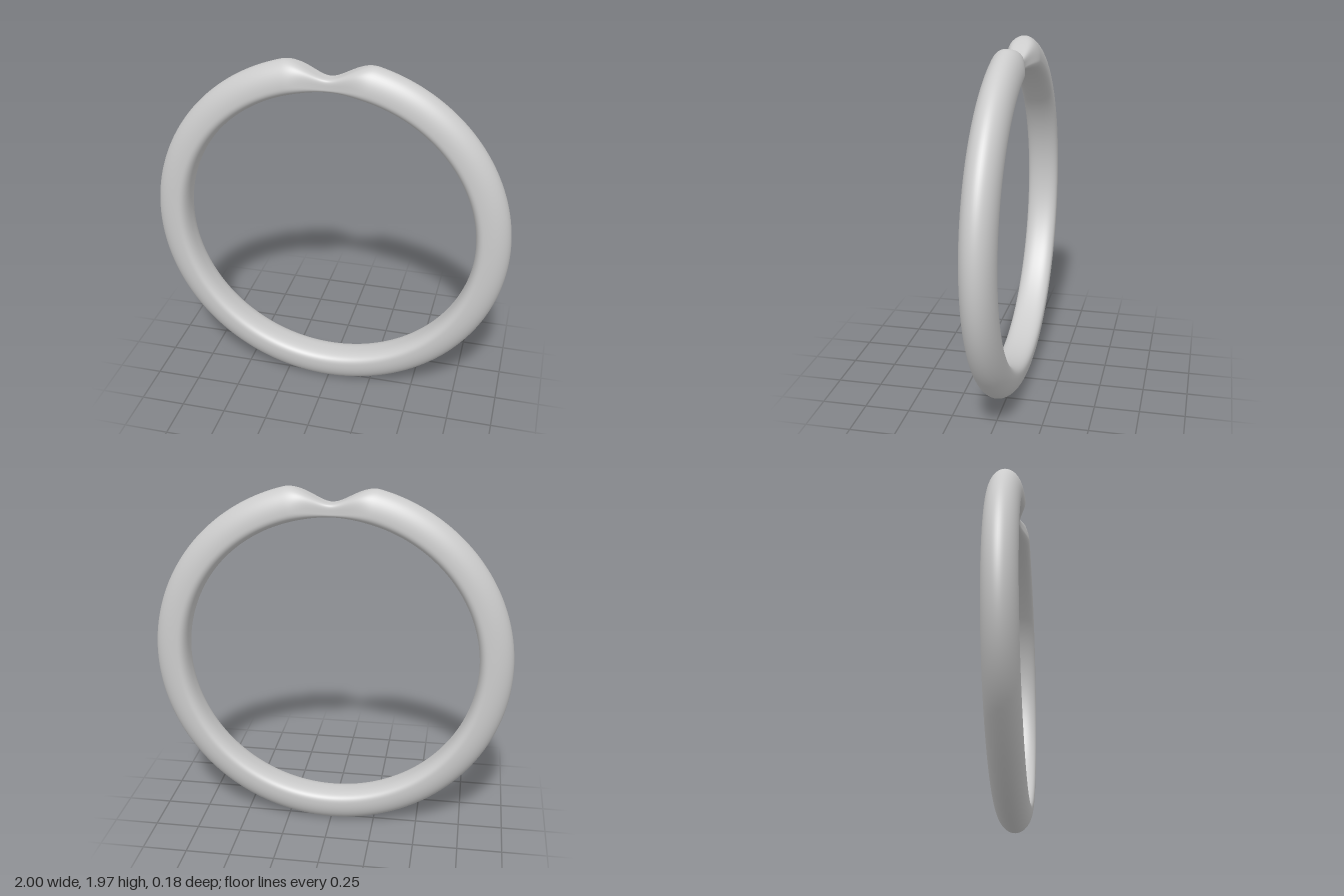
import * as THREE from 'three';

const INNER = 0.815, OUTER = 1, HALF_DEPTH = 0.092;
const AROUND = 240, SECTION = 56;
const lerp = THREE.MathUtils.lerp;
const curvePow = (v, n) => Math.sign(v) * Math.pow(Math.abs(v), 2 / n);

// Point on the band: theta runs round the ring from the top, phi round the section.
function bandPoint(theta, phi) {
  // 0 in the middle of the saddle, 1 on the full band
  const full = THREE.MathUtils.smoothstep(Math.abs(theta), 0, 0.26);
  const outer = lerp(0.89, OUTER, full);
  const depth = lerp(0.046, HALF_DEPTH, full);
  const widest = lerp(INNER, outer, 0.3);
  const c = Math.cos(phi), s = Math.sin(phi);
  // Domed outside that squares off in the saddle, softly flattened inside
  const n = c > 0 ? lerp(5, 2, full) : 2.5;
  const r = widest + curvePow(c, n) * (c > 0 ? outer - widest : widest - INNER);
  return [r * Math.sin(theta), 1 + r * Math.cos(theta), depth * curvePow(s, n)];
}

function bandGeometry() {
  const positions = [], index = [];
  for (let i = 0; i < AROUND; i++) {
    // Cross-sections crowd together near the saddle
    const u = (i / AROUND) * Math.PI * 2 - Math.PI;
    const theta = u - 0.6 * Math.sin(u);
    for (let j = 0; j < SECTION; j++) {
      positions.push(...bandPoint(theta, (j / SECTION) * Math.PI * 2));
      const i2 = (i + 1) % AROUND, j2 = (j + 1) % SECTION;
      const a = i * SECTION + j, b = i * SECTION + j2;
      const d = i2 * SECTION + j, e = i2 * SECTION + j2;
      index.push(a, b, d, b, e, d);
    }
  }
  const geometry = new THREE.BufferGeometry();
  geometry.setAttribute('position', new THREE.Float32BufferAttribute(positions, 3));
  geometry.setIndex(index);
  geometry.computeVertexNormals();
  return geometry;
}

export function createModel() {
  const group = new THREE.Group();
  group.name = 'ring';
  const band = new THREE.Mesh(bandGeometry(), new THREE.MeshStandardMaterial({ color: 0xcccccc }));
  band.name = 'bandWithSaddle';
  group.add(band);
  return group;
}
